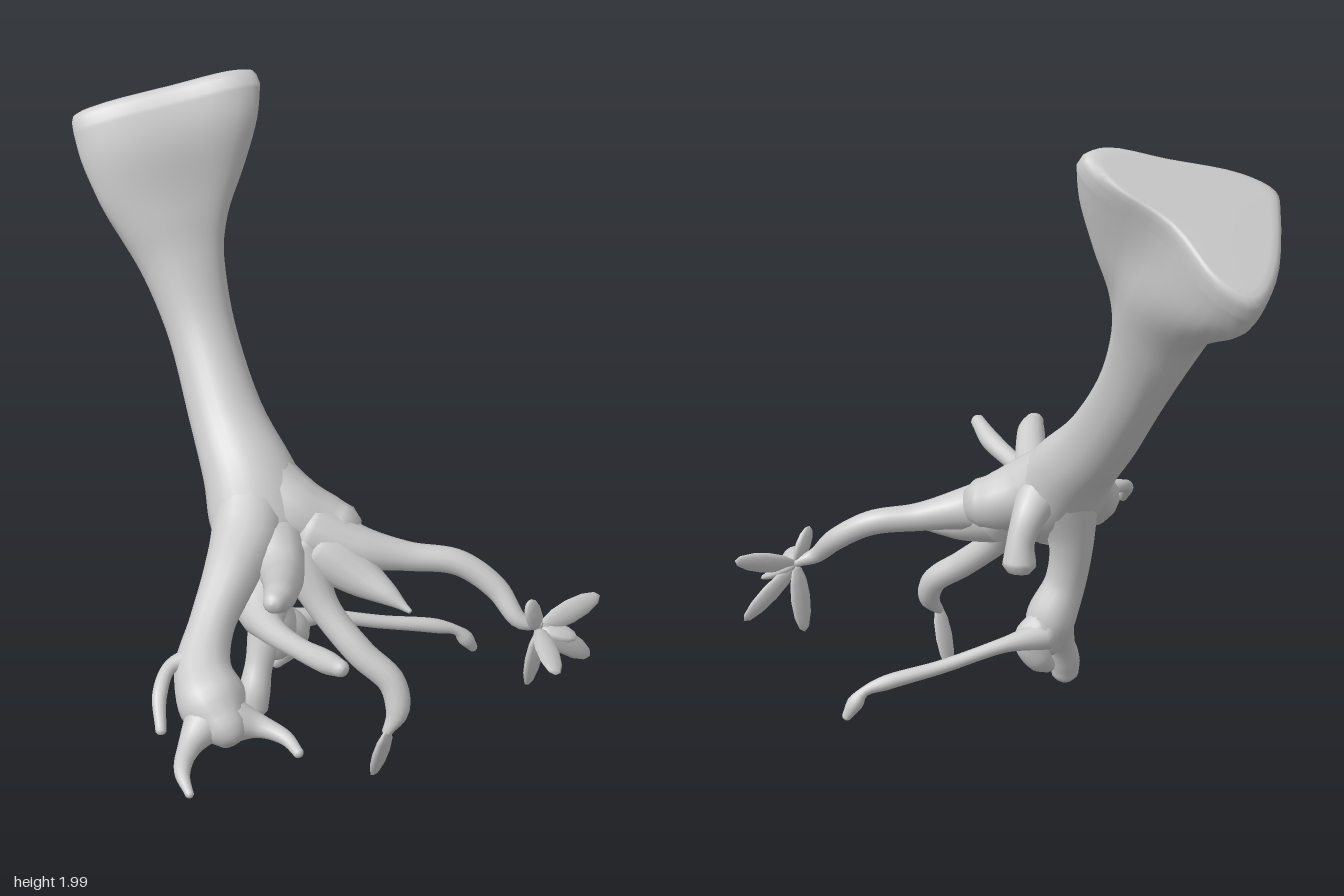
import * as THREE from 'three';

const material = new THREE.MeshStandardMaterial({ color: 0xcccccc, side: THREE.DoubleSide });
const V = (x, y, z) => new THREE.Vector3(x, y, z);

// Smooth curve through a list of numbers, returned as a function of t in 0..1
function smooth(values) {
  const curve = new THREE.SplineCurve(values.map((v, i) => new THREE.Vector2(i, v)));
  return t => curve.getPoint(t).y;
}

// Skin a closed surface over rings of points (counter-clockwise seen from the last ring)
function skin(rings) {
  const n = rings[0].length, pos = [], index = [];
  for (const ring of rings) for (const p of ring) pos.push(p.x, p.y, p.z);
  for (let i = 0; i < rings.length - 1; i++) {
    for (let j = 0; j < n; j++) {
      const a = i * n + j, b = i * n + (j + 1) % n;
      index.push(a, b, a + n, b, b + n, a + n);
    }
  }
  const g = new THREE.BufferGeometry();
  g.setAttribute('position', new THREE.Float32BufferAttribute(pos, 3));
  g.setIndex(index);
  g.computeVertexNormals();
  return g;
}

// Tapering limb through [x, y, z, radius] stations, with rounded ends
function limb(stations, sides = 14) {
  const path = new THREE.CatmullRomCurve3(stations.map(s => V(s[0], s[1], s[2])));
  const radius = smooth(stations.map(s => s[3]));
  const steps = (stations.length - 1) * 7;
  const frames = path.computeFrenetFrames(steps);
  const ring = (i, offset, scale) => {
    const r = radius(path.getUtoTmapping(i / steps));
    const c = path.getPointAt(i / steps).addScaledVector(frames.tangents[i], offset * r);
    return Array.from({ length: sides }, (_, j) => {
      const a = j / sides * Math.PI * 2;
      return c.clone().addScaledVector(frames.normals[i], Math.cos(a) * r * scale)
        .addScaledVector(frames.binormals[i], Math.sin(a) * r * scale);
    });
  };
  const rings = [ring(0, -0.6, 0), ring(0, -0.45, 0.6)];
  for (let i = 0; i <= steps; i++) rings.push(ring(i, 0, 1));
  rings.push(ring(steps, 0.45, 0.65), ring(steps, 0.6, 0));
  return skin(rings);
}

// Flat leaf from base to tip, broad side facing `normal`
function leaf(base, tip, width, normal) {
  const a = V(...base), b = V(...tip), y = b.clone().sub(a), len = y.length();
  y.normalize();
  const x = y.clone().cross(V(...normal)).normalize(), z = x.clone().cross(y);
  const g = new THREE.SphereGeometry(1, 8, 6);
  g.scale(width / 2, len / 2, 0.016);
  g.applyMatrix4(new THREE.Matrix4().makeBasis(x, y, z).setPosition(a.add(b).multiplyScalar(0.5)));
  return g;
}

// Leaning trunk: round near the roots, spreading to a rounded triangle at the cut
function trunk() {
  const cap = new THREE.CatmullRomCurve3([
    [0.245, 0.30], [0.235, 0.2], [0.11, 0.01], [0.06, -0.22], [-0.02, -0.3], [-0.13, -0.22],
    [-0.26, 0], [-0.285, 0.08], [-0.21, 0.16], [0, 0.25], [0.17, 0.32],
  ].map(([x, v]) => V(x, v, 0)), true).getPoints(44).slice(0, 44);
  // distance along axis, centre x, centre v, radius x, radius v, triangle blend, scale
  const body = [
    [-1.5, 0.03, 0.01, 0.07, 0.06, 0, 1], [-1.42, 0.04, 0, 0.13, 0.1, 0, 1],
    [-1.3, 0.03, 0, 0.165, 0.13, 0, 1], [-1.15, 0.02, 0, 0.142, 0.125, 0, 1],
    [-0.95, 0.005, -0.035, 0.114, 0.11, 0, 1], [-0.7, 0, -0.05, 0.105, 0.106, 0, 1],
    [-0.5, -0.01, -0.035, 0.125, 0.112, 0.05, 1], [-0.37, -0.015, -0.015, 0.157, 0.107, 0.2, 1],
    [-0.25, -0.01, -0.01, 0.19, 0.105, 0.52, 1], [-0.13, -0.005, -0.008, 0.2, 0.15, 0.86, 1],
    [-0.04, 0, 0, 0.2, 0.2, 1, 1],
  ];
  const columns = body[0].map((_, c) => smooth(body.map(row => row[c])));
  const rows = [[...body[0].slice(0, 6), 0]];
  for (let i = 0; i <= 50; i++) rows.push(columns.map(f => f(i / 50)));
  for (const [u, s] of [[-0.01, 0.99], [0.008, 0.96], [0.016, 0.9], [0.018, 0.82], [0.018, 0]]) {
    rows.push([u, 0, 0, 0.2, 0.2, 1, s]);
  }
  return skin(rows.map(([u, cx, cv, rx, rv, k, s]) => cap.map(p => {
    const a = Math.atan2(p.y, p.x);
    const x = cx + s * THREE.MathUtils.lerp(Math.cos(a) * rx, p.x, k);
    const v = cv + s * THREE.MathUtils.lerp(Math.sin(a) * rv, p.y, k);
    return V(-0.2 + x, 1.81 + 0.81 * u + 0.58 * v, -0.66 - 0.58 * u + 0.81 * v);
  })));
}

export function createModel() {
  const group = new THREE.Group();
  const add = (name, geometry) => {
    const mesh = new THREE.Mesh(geometry, material);
    mesh.name = name;
    group.add(mesh);
  };

  add('trunk', trunk());

  const limbs = {
    // right root with its swollen end and rootlets
    rightRoot: [[-0.18, 0.88, 0, 0.1], [-0.24, 0.76, 0.14, 0.112], [-0.35, 0.7, 0.27, 0.085], [-0.46, 0.62, 0.38, 0.068],
      [-0.53, 0.54, 0.48, 0.085], [-0.54, 0.49, 0.58, 0.1], [-0.53, 0.45, 0.67, 0.06]],
    rightOuterRootlet: [[-0.56, 0.47, 0.6, 0.07], [-0.65, 0.44, 0.67, 0.035], [-0.71, 0.43, 0.76, 0.023], [-0.72, 0.41, 0.84, 0.012]],
    rightInnerRootlet: [[-0.51, 0.46, 0.63, 0.07], [-0.44, 0.45, 0.68, 0.035], [-0.39, 0.44, 0.75, 0.022], [-0.38, 0.43, 0.82, 0.015]],
    rightSideRootlet: [[-0.52, 0.57, 0.46, 0.045], [-0.62, 0.57, 0.46, 0.022], [-0.68, 0.53, 0.52, 0.022], [-0.71, 0.46, 0.6, 0.016]],
    // forward spurs
    upperSpur: [[-0.18, 0.71, 0.16, 0.11], [-0.21, 0.7, 0.32, 0.07], [-0.27, 0.745, 0.46, 0.055], [-0.33, 0.79, 0.57, 0.045], [-0.365, 0.805, 0.61, 0.03]],
    lowerSpur: [[-0.21, 0.65, 0.19, 0.11], [-0.28, 0.6, 0.33, 0.08], [-0.31, 0.615, 0.46, 0.045], [-0.3, 0.65, 0.63, 0.032], [-0.28, 0.69, 0.78, 0.034], [-0.28, 0.73, 0.88, 0.024]],
    // downward root, its foot and long runner
    downRoot: [[-0.16, 0.82, 0.05, 0.12], [-0.19, 0.62, 0.04, 0.075], [-0.18, 0.47, 0.055, 0.066], [-0.13, 0.34, 0.065, 0.08], [-0.12, 0.25, 0.075, 0.055]],
    downRootFoot: [[-0.14, 0.34, 0.06, 0.065], [-0.19, 0.23, 0.1, 0.045], [-0.22, 0.15, 0.13, 0.05], [-0.23, 0.09, 0.145, 0.045]],
    downRootKnob: [[-0.1, 0.33, 0.05, 0.06], [-0.05, 0.29, 0.06, 0.05], [-0.08, 0.22, 0.05, 0.045], [-0.12, 0.18, 0.055, 0.025]],
    runner: [[-0.1, 0.31, 0.03, 0.05], [0.05, 0.3, 0.04, 0.025], [0.25, 0.25, 0.085, 0.022], [0.42, 0.215, 0.13, 0.024], [0.49, 0.19, 0.15, 0.016], [0.52, 0.155, 0.155, 0.026], [0.55, 0.11, 0.16, 0.015]],
    backStub: [[-0.1, 0.8, 0.06, 0.08], [-0.02, 0.745, 0.005, 0.055], [0.02, 0.67, -0.015, 0.045], [0.03, 0.6, -0.025, 0.054]],
    // left root, shoulder and thorn
    shoulder: [[-0.16, 0.88, 0.02, 0.1], [-0.09, 0.78, 0.12, 0.11], [0, 0.735, 0.18, 0.092], [0.045, 0.72, 0.22, 0.08]],
    leftRoot: [[-0.05, 0.73, 0.18, 0.1], [0.06, 0.69, 0.27, 0.07], [0.2, 0.66, 0.34, 0.046], [0.34, 0.64, 0.41, 0.04], [0.43, 0.57, 0.49, 0.036], [0.47, 0.49, 0.57, 0.026], [0.53, 0.47, 0.59, 0.016]],
    thorn: [[-0.02, 0.68, 0.22, 0.1], [0.05, 0.62, 0.33, 0.065], [0.1, 0.59, 0.41, 0.035], [0.14, 0.56, 0.48, 0.008]],
    // front root
    frontRoot: [[-0.1, 0.69, 0.19, 0.09], [-0.07, 0.54, 0.31, 0.05], [0, 0.42, 0.43, 0.045], [0.07, 0.34, 0.51, 0.042], [0.07, 0.26, 0.55, 0.036], [0.03, 0.2, 0.56, 0.016]],
  };
  for (const [name, stations] of Object.entries(limbs)) add(name, limb(stations));

  // leaf cluster on the left root
  const hub = [0.53, 0.46, 0.59];
  const tips = [
    [[0.74, 0.52, 0.59], 0.08, [0, 0.3, 1]], [[0.72, 0.3, 0.59], 0.075, [0.3, 0, 1]],
    [[0.52, 0.23, 0.56], 0.085, [0.4, 0, 1]], [[0.47, 0.58, 0.61], 0.075, [0.6, 0, 1]],
    [[0.47, 0.43, 0.79], 0.085, [0.4, 1, 0]], [[0.64, 0.42, 0.63], 0.07, [0, 1, 0.4]],
  ];
  tips.forEach(([tip, width, normal], i) => add('clusterLeaf' + (i + 1), leaf(hub, tip, width, normal)));
  add('frontRootLeaf', leaf([0.03, 0.22, 0.57], [0.02, 0, 0.5], 0.08, [0.4, 0, 1]));

  return group;
}
